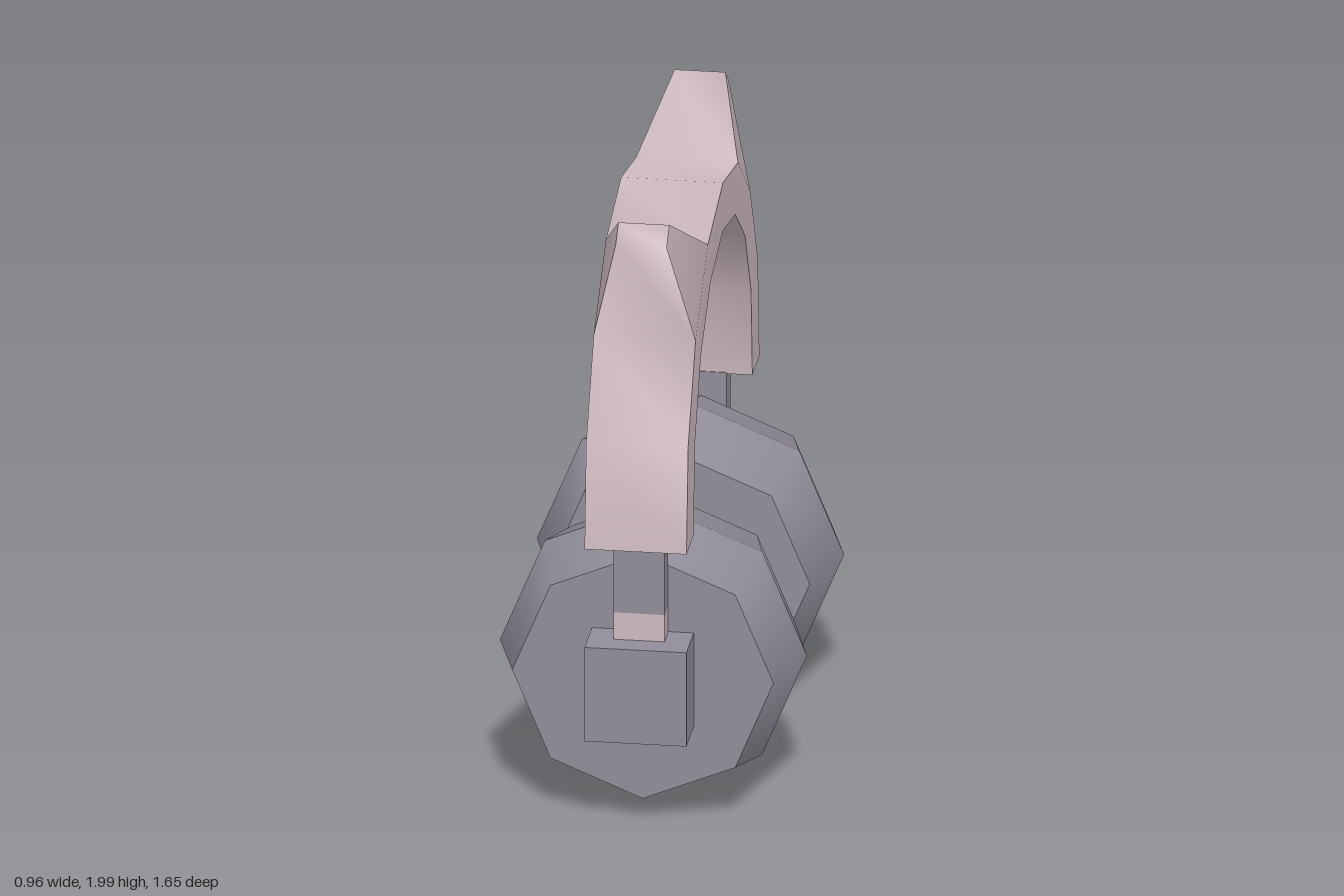
import * as THREE from 'three';
import { toCreasedNormals } from 'three/addons/utils/BufferGeometryUtils.js';

const pink = new THREE.MeshStandardMaterial({ color: 0xcdb9bf });
pink.name = 'dusty pink';
const grey = new THREE.MeshStandardMaterial({ color: 0x918d99 });
grey.name = 'purple grey';

const HALF = 0.16; // half width of the headband
const TIP = 0.08;  // half width of an ear tip

// Points are [z, y, half width]; mirror() continues a half path past z = 0.
const mirror = (half) => [...half, ...half.slice(0, -1).reverse().map(([z, y, w]) => [-z, y, w])];

function bandGeometry() {
  const point = (z, y, w = HALF) => [z, y, w];
  const outer = mirror([point(0.825, 0.975), point(0.79, 1.32), point(0.62, 1.61), point(0.34, 1.82), point(0, 1.89)]);
  const inner = mirror([point(0.665, 0.975), point(0.635, 1.27), point(0.5, 1.51), point(0.28, 1.67), point(0, 1.73)]);
  const frontEar = [point(0.7, 1.95, TIP), point(0.635, 2, TIP)];
  const backEar = [point(-0.635, 2, TIP), point(-0.7, 1.95, TIP)];

  const positions = [];
  const quad = (a, b, c, d) => positions.push(...a, ...b, ...c, ...a, ...c, ...d);
  const at = ([z, y, w], side) => [w * side, y, z];
  const sides = (a, b, c, d) => {
    quad(at(a, 1), at(b, 1), at(c, 1), at(d, 1));
    quad(at(d, -1), at(c, -1), at(b, -1), at(a, -1));
  };

  // Flat sides of the arch, then the tapering sides of the ears
  for (let i = 0; i < outer.length - 1; i++) sides(inner[i], inner[i + 1], outer[i + 1], outer[i]);
  sides(outer[2], outer[3], frontEar[1], frontEar[0]);
  sides(outer[5], outer[6], backEar[1], backEar[0]);

  // Surface running around the outline: over the ears, back along the inside
  const outline = [
    ...outer.slice(0, 3), ...frontEar, ...outer.slice(3, 6), ...backEar, ...outer.slice(6),
    ...inner.reverse(),
  ];
  outline.forEach((p, i) => {
    const q = outline[(i + 1) % outline.length];
    quad(at(p, 1), at(q, 1), at(q, -1), at(p, -1));
  });

  const geometry = new THREE.BufferGeometry();
  geometry.setAttribute('position', new THREE.Float32BufferAttribute(positions, 3));
  return toCreasedNormals(geometry, 1.25);
}

function addMesh(parent, name, geometry, material) {
  const mesh = new THREE.Mesh(geometry, material);
  mesh.name = name;
  parent.add(mesh);
  return mesh;
}

// Box given by its width and its y and z ranges
function box(width, y0, y1, z0, z1) {
  return new THREE.BoxGeometry(width, y1 - y0, z1 - z0).translate(0, (y0 + y1) / 2, (z0 + z1) / 2);
}

// Half of an eight-sided cushion, with a flat cap on its narrow end
function cupHalf(parent, name, rFront, rBack, z0, z1) {
  const shell = new THREE.CylinderGeometry(rFront, rBack, z1 - z0, 8, 1, true);
  shell.rotateX(Math.PI / 2).translate(0, 0.49, (z0 + z1) / 2);
  addMesh(parent, name, shell, grey);
  const outward = rFront < rBack;
  const cap = new THREE.CircleGeometry(Math.min(rFront, rBack), 8);
  if (!outward) cap.rotateY(Math.PI);
  cap.translate(0, 0.49, outward ? z1 : z0);
  addMesh(parent, name + 'Cap', cap, grey);
}

function earpiece(name) {
  const group = new THREE.Group();
  group.name = name;
  cupHalf(group, 'outerCup', 0.41, 0.482, 0.42, 0.66);
  cupHalf(group, 'earCushion', 0.482, 0.41, 0.162, 0.42);
  addMesh(group, 'hingeBlock', box(0.32, 0.33, 0.645, 0.655, 0.825), grey);
  addMesh(group, 'sliderCollar', box(0.16, 0.64, 0.735, 0.662, 0.745), pink);
  addMesh(group, 'slider', box(0.16, 0.735, 0.98, 0.662, 0.745), grey);
  return group;
}

export function createModel() {
  const model = new THREE.Group();
  model.name = 'headphones';
  addMesh(model, 'earedHeadband', bandGeometry(), pink);
  const front = earpiece('frontEarpiece');
  const back = earpiece('backEarpiece');
  back.rotation.y = Math.PI;
  model.add(front, back);
  return model;
}
